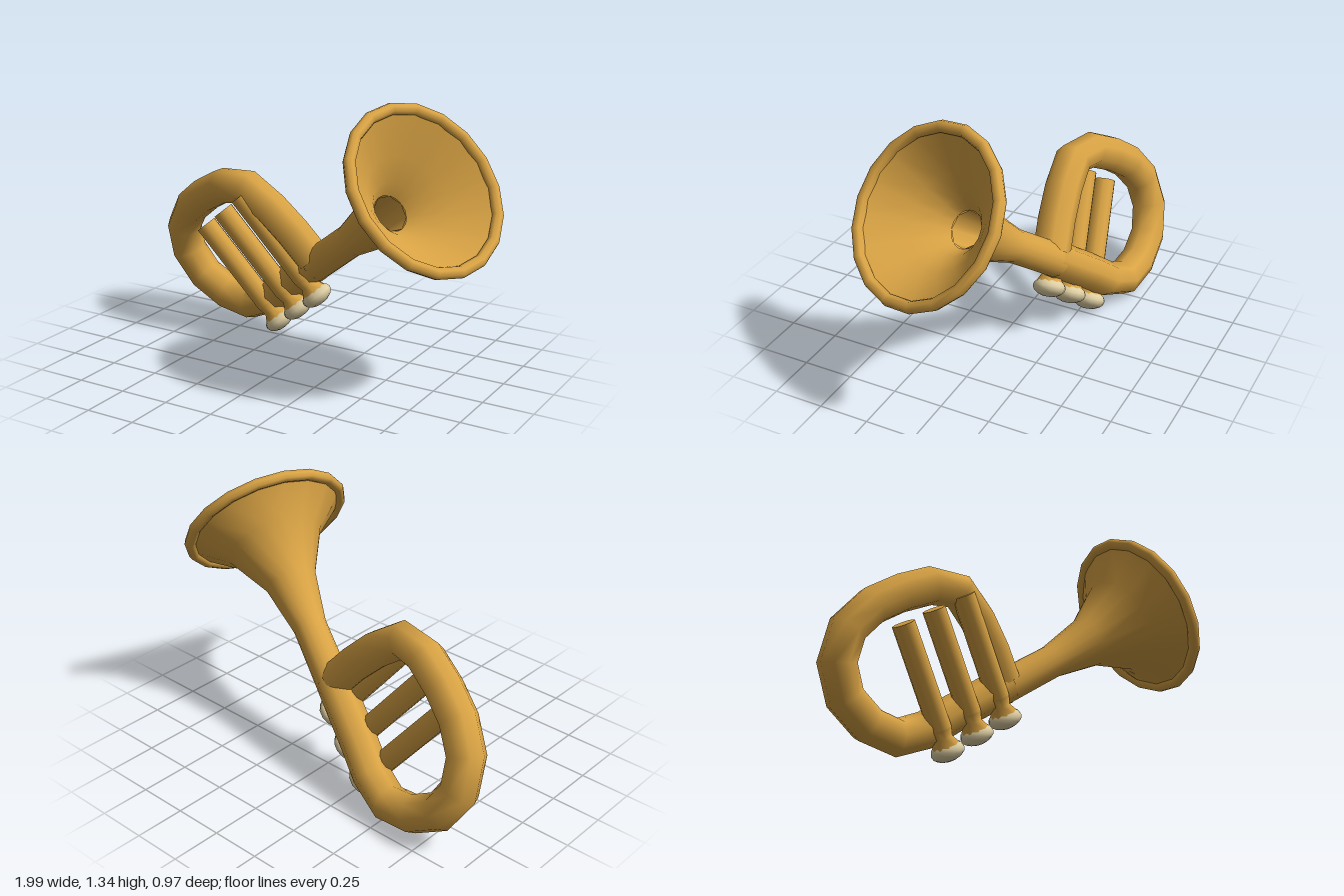
import * as THREE from 'three';

const UP = new THREE.Vector3(0, 1, 0);

// The coiled tubing and valves share one tilted plane.
const coilZ = (x, y) => -0.349 + 0.139 * x + 0.3165 * y;

export function createModel() {
  const brass = new THREE.MeshStandardMaterial({ color: 0xd9a344, side: THREE.DoubleSide });
  brass.name = 'brass';
  const pearl = new THREE.MeshStandardMaterial({ color: 0xdfcfa3 });
  pearl.name = 'pearl';

  const model = new THREE.Group();
  model.name = 'horn';

  const add = (parent, name, geometry, material) => {
    const mesh = new THREE.Mesh(geometry, material);
    mesh.name = name;
    parent.add(mesh);
    return mesh;
  };
  const lathe = (points, sides) =>
    new THREE.LatheGeometry(points.map(([r, y]) => new THREE.Vector2(r, y)), sides);

  // Bell: origin at the rim centre, local y along the bell axis
  const bell = new THREE.Group();
  bell.name = 'bell';
  bell.position.set(0.71, 1.0, 0.065);
  bell.quaternion.setFromUnitVectors(UP, new THREE.Vector3(0.76, 0.58, 0.29).normalize());
  model.add(bell);
  add(bell, 'bellOuter', lathe([
    [0.085, -0.97], [0.083, -0.62], [0.13, -0.36], [0.245, -0.14], [0.40, 0],
  ], 16), brass);
  add(bell, 'bellInner', lathe([
    [0.39, 0.005], [0.225, -0.135], [0.135, -0.22], [0.09, -0.28],
  ], 16), brass);
  add(bell, 'throat', lathe([[0.09, -0.28], [0.07, -0.6]], 8), brass);
  const rim = add(bell, 'bellRim', new THREE.TorusGeometry(0.402, 0.029, 8, 18), brass);
  rim.rotation.x = Math.PI / 2;

  // Coil: leaves the bell, loops round and returns to it
  const path = [
    [0.0, 0.465], [-0.25, 0.27], [-0.47, 0.11], [-0.66, 0.12], [-0.84, 0.23], [-0.91, 0.4],
    [-0.86, 0.56], [-0.65, 0.735], [-0.41, 0.82], [-0.19, 0.67], [-0.02, 0.48],
  ].map(([x, y]) => new THREE.Vector3(x, y, coilZ(x, y)));
  add(model, 'coil', new THREE.TubeGeometry(new THREE.CatmullRomCurve3(path), 15, 0.092, 8), brass);

  // Valves: origin at the button, local y pointing back up the cylinder
  const valveAxis = new THREE.Vector3(-0.617, 0.772, 0.154).normalize();
  for (let i = 0; i < 3; i++) {
    const valve = new THREE.Group();
    valve.name = 'valve' + (i + 1);
    valve.position.set(-0.28 + 0.14 * i, 0.075 + 0.107 * i, -0.295 + 0.048 * i);
    valve.quaternion.setFromUnitVectors(UP, valveAxis);
    model.add(valve);
    const cylinder = new THREE.CylinderGeometry(0.056, 0.056, 0.52, 10);
    cylinder.translate(0, 0.37, 0);
    add(valve, 'valveCylinder', cylinder, brass);
    add(valve, 'valveStem', lathe([[0.074, 0.015], [0.045, 0.065], [0.056, 0.11]], 10), brass);
    const button = add(valve, 'valveButton', new THREE.SphereGeometry(0.083, 12, 8), pearl);
    button.scale.y = 0.58;
  }

  return model;
}
